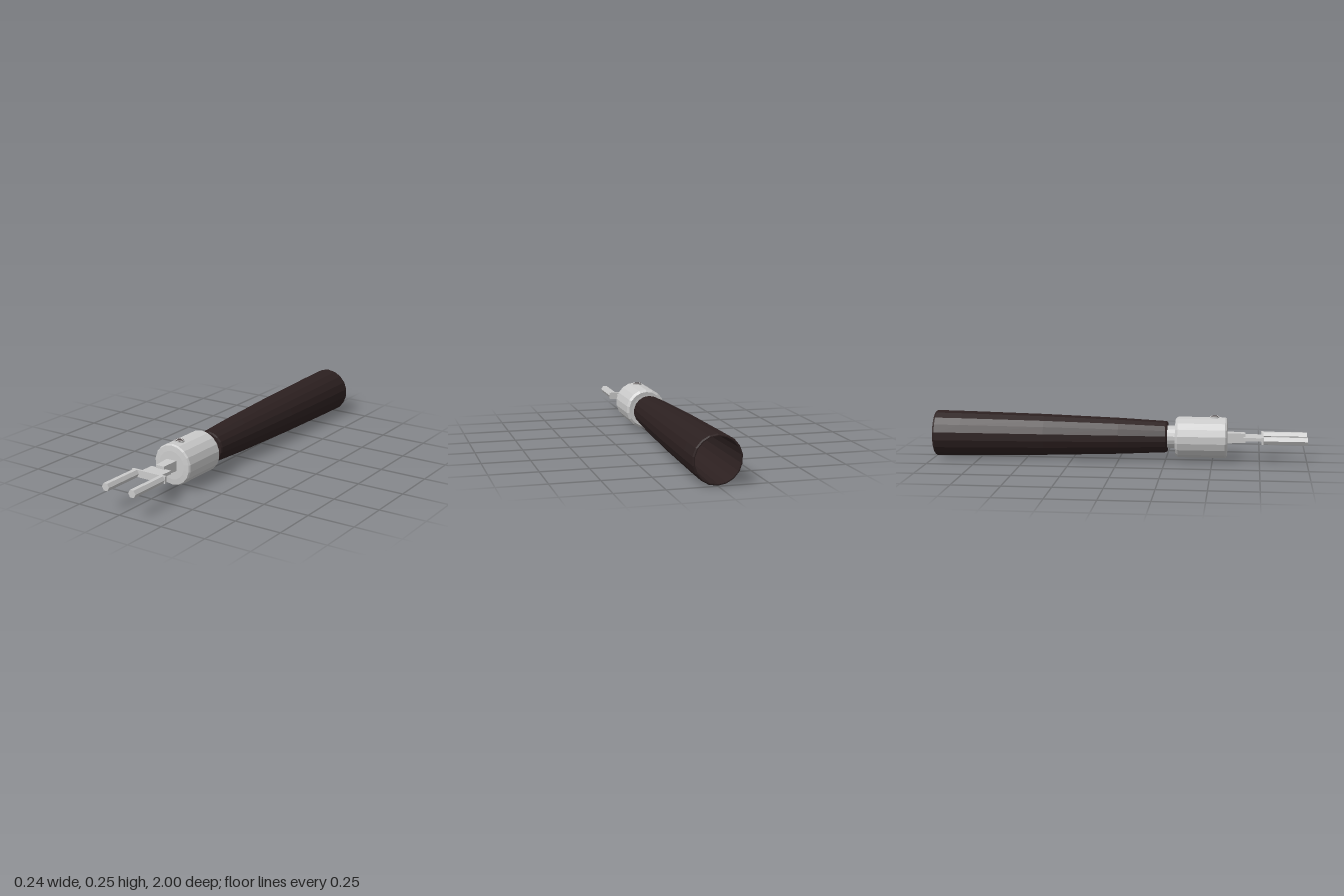
import * as THREE from 'three';

const AXIS_Y = 0.124;

export function createModel() {
  const model = new THREE.Group();
  model.name = 'forkTool';
  const tool = new THREE.Group();
  tool.name = 'toolAxis';
  tool.position.y = AXIS_Y;
  model.add(tool);

  const mat = (name, color, side = THREE.FrontSide) => {
    const m = new THREE.MeshStandardMaterial({ color, side, flatShading: true });
    m.name = name;
    return m;
  };
  const steel = mat('steel', 0xcacaca);
  const wood = mat('darkHandle', 0x2c2020, THREE.DoubleSide);
  const dark = mat('screwSocket', 0x4c4242);

  const add = (name, geometry, material, x = 0, y = 0, z = 0) => {
    const mesh = new THREE.Mesh(geometry, material);
    mesh.name = name;
    mesh.position.set(x, y, z);
    tool.add(mesh);
    return mesh;
  };
  // Turned part: [radius, z] pairs revolved about the z axis
  const turned = (pairs, sides = 18) =>
    new THREE.LatheGeometry(pairs.map(([r, z]) => new THREE.Vector2(r, z)), sides).rotateX(Math.PI / 2);

  // Hollow tapered handle, open at the rear
  add('handle', turned([
    [0, 0.23], [0.07, 0.23], [0.102, -0.4], [0.113, -0.985], [0.114, -1],
    [0.119, -1], [0.124, -0.99], [0.122, -0.85], [0.112, -0.4], [0.098, 0],
    [0.085, 0.25], [0.08, 0.26], [0, 0.26],
  ]), wood);

  // Neck and chuck
  add('neck', turned([[0.061, 0.24], [0.061, 0.31]]), steel);
  add('chuck', turned([
    [0, 0.305], [0.08, 0.305], [0.098, 0.303], [0.11, 0.317],
    [0.11, 0.567], [0.104, 0.576], [0.075, 0.579], [0, 0.579],
  ]), steel);

  // Set screw on top of the chuck
  add('screwRim', new THREE.CylinderGeometry(0.025, 0.025, 0.02, 16), steel, 0, 0.104, 0.51);
  add('screwGroove', new THREE.CylinderGeometry(0.02, 0.02, 0.003, 16), dark, 0, 0.1145, 0.51);
  add('screwHead', new THREE.CylinderGeometry(0.017, 0.017, 0.003, 16), steel, 0, 0.1155, 0.51);
  add('screwSocket', new THREE.CylinderGeometry(0.012, 0.012, 0.003, 6), dark, 0, 0.1165, 0.51);

  // Stem, narrowing towards the fork
  const stem = new THREE.BoxGeometry(0.06, 0.054, 0.105);
  const p = stem.attributes.position;
  for (let i = 0; i < p.count; i++) {
    if (p.getZ(i) > 0) p.setXY(i, p.getX(i) * 0.8, p.getY(i) * 0.92);
  }
  stem.computeVertexNormals();
  add('stem', stem, steel, 0, 0.002, 0.6225);

  // Fork plate and crossbar
  add('forkPlate', new THREE.BoxGeometry(0.122, 0.018, 0.1), steel, 0, 0.002, 0.715);
  add('crossbar', new THREE.BoxGeometry(0.204, 0.038, 0.012), steel, 0, 0.002, 0.764);

  // Hexagonal prongs
  for (const side of [-1, 1]) {
    const prong = new THREE.CylinderGeometry(0.022, 0.022, 0.235, 6).rotateY(Math.PI / 2).rotateX(Math.PI / 2);
    add(side > 0 ? 'leftProng' : 'rightProng', prong, steel, side * 0.08, 0.002, 0.8825);
  }
  return model;
}
